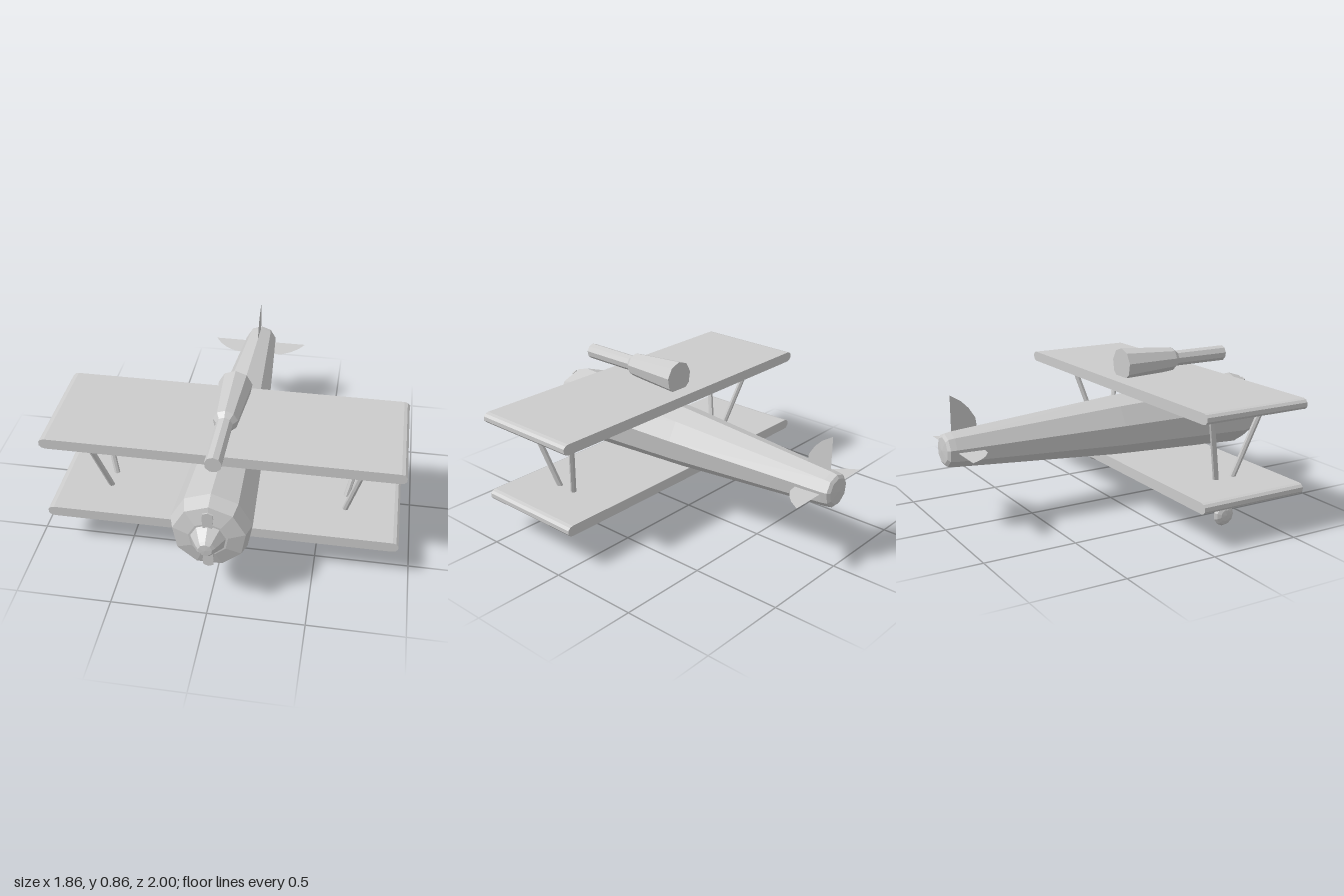
import * as THREE from 'three';

const SIDES = 9;
const grey = new THREE.MeshStandardMaterial({ color: 0xcccccc, flatShading: true });
const thin = new THREE.MeshStandardMaterial({ color: 0xcccccc, flatShading: true, side: THREE.DoubleSide });

export function createModel() {
  const model = new THREE.Group();
  const AXIS = 0.436; // height of the fuselage axis

  const add = (name, geometry, material = grey) => {
    const mesh = new THREE.Mesh(geometry, material);
    mesh.name = name;
    model.add(mesh);
    return mesh;
  };

  // Faceted body turned about the z axis, one corner up; profile is [radius, z] from back to front
  const turned = (name, profile, y) => {
    const geometry = new THREE.LatheGeometry(profile.map(([r, z]) => new THREE.Vector2(r, z)), SIDES, Math.PI);
    add(name, geometry.rotateX(Math.PI / 2)).position.y = y;
  };

  // Round rod between two points
  const rod = (name, from, to, radius) => {
    const a = new THREE.Vector3(...from), b = new THREE.Vector3(...to);
    const dir = b.clone().sub(a);
    const mesh = add(name, new THREE.CylinderGeometry(radius, radius, dir.length(), 7));
    mesh.position.copy(a).add(b).multiplyScalar(0.5);
    mesh.quaternion.setFromUnitVectors(new THREE.Vector3(0, 1, 0), dir.normalize());
  };

  const outline = (points) => new THREE.Shape(points.map(([x, y]) => new THREE.Vector2(x, y)));

  // Fuselage and spinner
  turned('fuselage', [
    [0, -1], [0.07, -0.995], [0.088, -0.983], [0.094, -0.95], [0.168, 0],
    [0.209, 0.82], [0.185, 0.895], [0.1, 0.917], [0, 0.917],
  ], AXIS);
  turned('spinner', [[0, 0.9], [0.092, 0.912], [0.082, 0.93], [0.048, 0.985], [0.035, 0.998], [0, 1]], AXIS);

  // Two propeller blades
  const blade = outline([[-0.02, 0.05], [0.02, 0.05], [0.028, 0.13], [0.025, 0.162], [0, 0.172], [-0.025, 0.162], [-0.028, 0.13]]);
  for (const turn of [0, Math.PI]) {
    const mesh = add('propellerBlade', new THREE.ExtrudeGeometry(blade, { depth: 0.008, bevelEnabled: false }));
    mesh.position.set(0, AXIS, 0.917);
    mesh.rotation.z = turn;
  }

  // Upper and lower wings: flat slabs with rounded tips
  const tip = [[0.9, -0.029], [0.918, -0.024], [0.93, -0.011], [0.93, 0.011], [0.918, 0.024], [0.9, 0.029]];
  const section = outline([...tip, ...tip.map(([x, y]) => [-x, -y])]);
  for (const [name, y] of [['upperWing', 0.675], ['lowerWing', 0.223]]) {
    const geometry = new THREE.ExtrudeGeometry(section, { depth: 0.622, bevelEnabled: false });
    add(name, geometry).position.set(0, y, -0.015);
  }

  // Wing struts, undercarriage legs and wheels on both sides
  const wheelProfile = [[0, -0.027], [0.03, -0.024], [0.052, -0.014], [0.062, 0], [0.052, 0.014], [0.03, 0.024], [0, 0.027]]
    .map(([r, y]) => new THREE.Vector2(r, y));
  for (const s of [1, -1]) {
    rod('frontStrut', [s * 0.737, 0.66, 0.487], [s * 0.637, 0.24, 0.37], 0.016);
    rod('rearStrut', [s * 0.737, 0.66, 0.15], [s * 0.637, 0.24, 0.267], 0.016);
    rod('frontLeg', [s * 0.635, 0.22, 0.435], [s * 0.635, 0.07, 0.3], 0.014);
    rod('rearLeg', [s * 0.635, 0.22, 0.15], [s * 0.635, 0.07, 0.285], 0.014);
    rod('axle', [s * 0.622, 0.075, 0.292], [s * 0.68, 0.065, 0.292], 0.014);
    const wheel = add('wheel', new THREE.LatheGeometry(wheelProfile, 11));
    wheel.rotation.z = Math.PI / 2;
    wheel.position.set(s * 0.678, 0.064, 0.292);
  }

  // Upright tail fin and two tailplanes share one outline, turned about the fuselage axis
  const fin = outline([[0.945, 0], [0.945, 0.283], [0.885, 0.245], [0.845, 0.205], [0.81, 0.15], [0.802, 0.09], [0.802, 0]]);
  for (const [name, turn] of [['tailFin', 0], ['leftTailplane', -Math.PI / 2], ['rightTailplane', Math.PI / 2]]) {
    const mesh = add(name, new THREE.ShapeGeometry(fin).rotateY(Math.PI / 2).rotateZ(turn), thin);
    mesh.position.y = AXIS;
  }

  // Gun on the upper wing: flared body narrowing to a long barrel
  turned('gun', [
    [0, 0.07], [0.092, 0.07], [0.066, 0.4], [0.044, 0.43], [0.044, 0.76], [0, 0.76],
  ], 0.772);

  return model;
}
